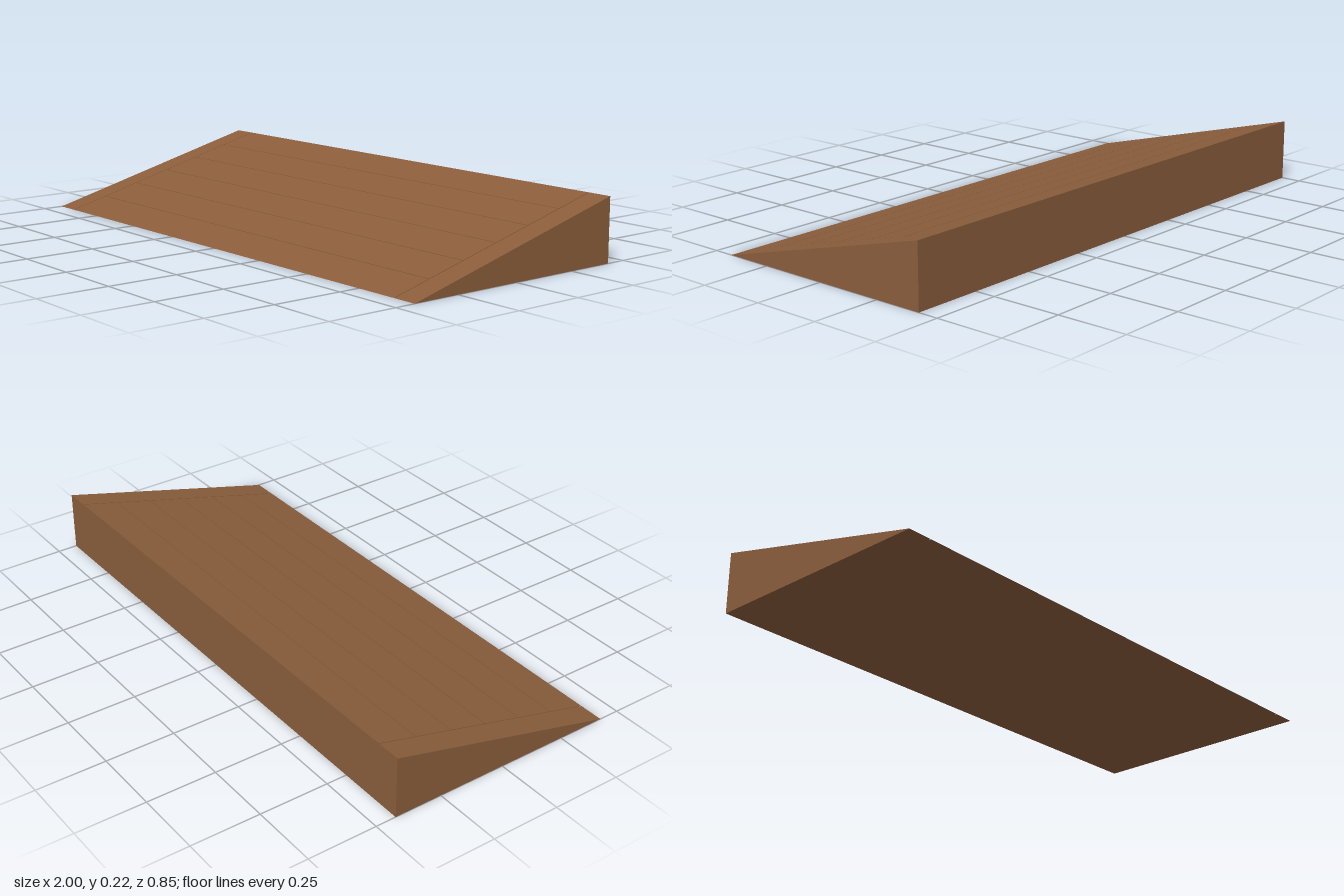
import * as THREE from 'three';

const FRONT = 0.426, DEPTH = 0.852, HEIGHT = 0.222, GROOVE = 0.002, GAP = 0.003;
const RAIL_X = 0.91, PLANKS = 6;

// Height of the sloping top, with s measured from the front edge to the back
const slope = (s) => (s / DEPTH) * HEIGHT;

export function createModel() {
  const model = new THREE.Group();
  model.name = 'ramp';
  const wood = new THREE.MeshStandardMaterial({ color: 0x8b5e3c });
  wood.name = 'brown wood';

  // Extrudes a side profile of [s, y] points across the width from x0 to x1
  const addProfile = (name, points, x0, x1) => {
    const shape = new THREE.Shape(points.map(([s, y]) => new THREE.Vector2(s - FRONT, y)));
    const geometry = new THREE.ExtrudeGeometry(shape, { depth: x1 - x0, bevelEnabled: false });
    geometry.rotateY(Math.PI / 2).translate(x0, 0, 0);
    const mesh = new THREE.Mesh(geometry, wood);
    mesh.name = name;
    model.add(mesh);
  };

  // Solid wedge with shallow grooves between the planks
  const width = DEPTH / PLANKS;
  const top = [[0, 0]];
  for (let i = 1; i < PLANKS; i++) {
    const a = i * width - GAP / 2, b = i * width + GAP / 2;
    top.push([a, slope(a)], [a, slope(a) - GROOVE], [b, slope(b) - GROOVE], [b, slope(b)]);
  }
  top.push([DEPTH, HEIGHT], [DEPTH, 0]);
  const inner = RAIL_X - GAP / 2;
  addProfile('plankedWedge', top.reverse(), -inner, inner);

  // Smooth side rails, and the recessed joint between each rail and the planks
  const drop = (GROOVE / HEIGHT) * DEPTH;
  const rail = [[0, 0], [DEPTH, 0], [DEPTH, HEIGHT]];
  const joint = [[drop, 0], [DEPTH, 0], [DEPTH, HEIGHT - GROOVE]];
  const outer = RAIL_X + GAP / 2;
  addProfile('leftRail', rail, outer, 1);
  addProfile('rightRail', rail, -1, -outer);
  addProfile('leftJoint', joint, inner, outer);
  addProfile('rightJoint', joint, -outer, -inner);

  return model;
}
